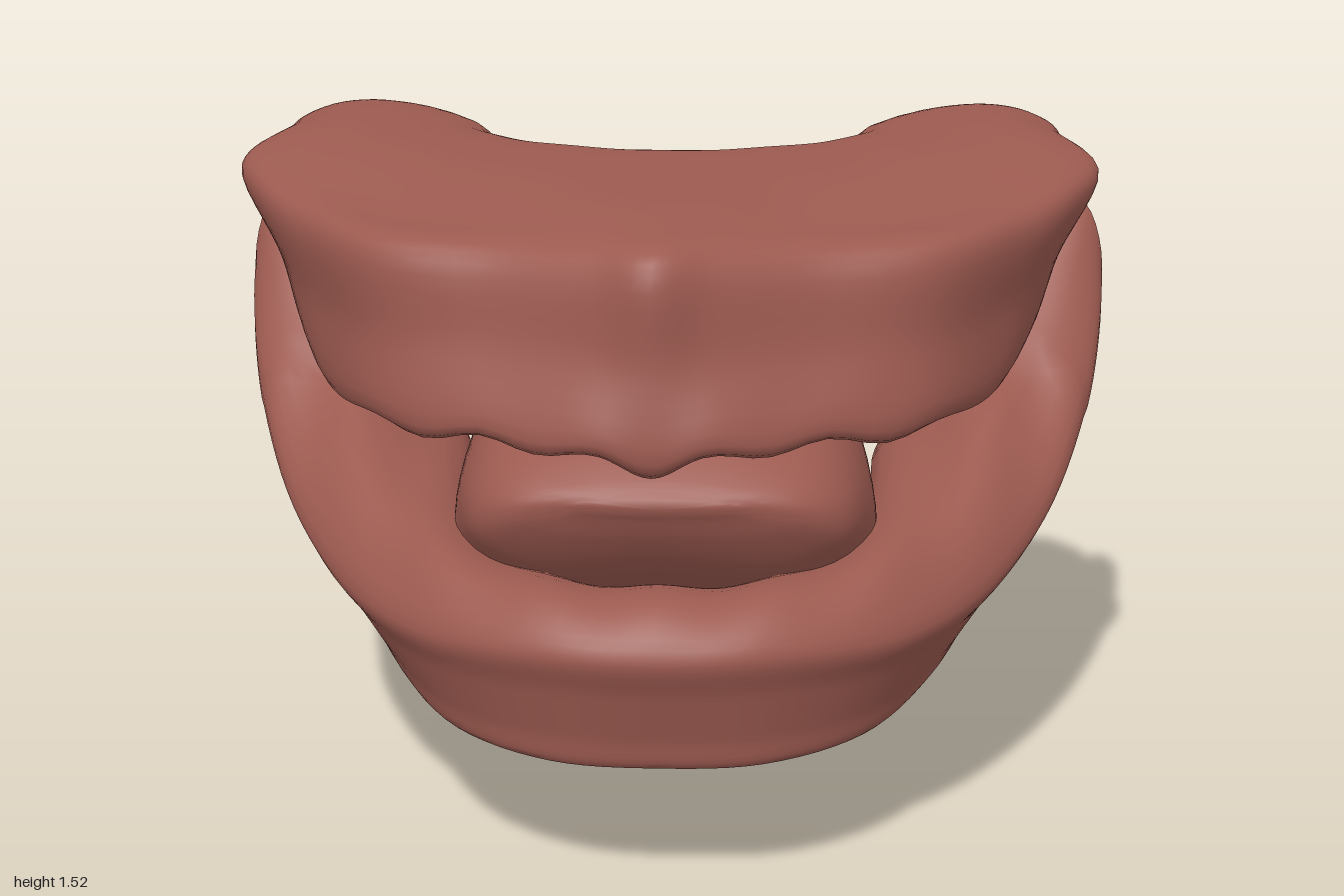
import * as THREE from 'three';
import { toCreasedNormals } from 'three/addons/utils/BufferGeometryUtils.js';

const V = (x, y, z) => new THREE.Vector3(x, y, z);
const lerp = (a, b, t) => a.clone().lerp(b, t);
const flip = p => V(-p.x, p.y, p.z);

// Smooth closed solid through a row of matching rings; each end closes on a point.
function loft(rings, startTip, endTip, along, around, warp) {
  const round = rings.map(r => new THREE.CatmullRomCurve3(r, true).getPoints(around).slice(0, around));
  const columns = [];
  for (let j = 0; j < around; j++) {
    columns.push(new THREE.CatmullRomCurve3(round.map(r => r[j])).getPoints(along));
  }
  const pts = [];
  for (let i = 0; i <= along; i++) for (let j = 0; j < around; j++) pts.push(columns[j][i]);
  pts.forEach(warp);
  const s = pts.push(startTip) - 1, e = pts.push(endTip) - 1;

  const idx = [];
  for (let j = 0; j < around; j++) {
    const k = (j + 1) % around, last = along * around;
    for (let i = 0; i < along; i++) {
      const a = i * around + j, b = i * around + k;
      idx.push(a, b, a + around, b, b + around, a + around);
    }
    idx.push(s, k, j, e, last + j, last + k);
  }
  // Turn the faces outwards if the enclosed volume comes out negative
  let volume = 0;
  for (let i = 0; i < idx.length; i += 3) {
    volume += pts[idx[i]].dot(pts[idx[i + 1]].clone().cross(pts[idx[i + 2]]));
  }
  if (volume < 0) idx.reverse();

  const geo = new THREE.BufferGeometry().setFromPoints(pts);
  geo.setIndex(idx);
  return toCreasedNormals(geo, 0.9);
}

// Half an arch (middle to left end) becomes a full one
const mirrorArch = half => [...half.slice(1).reverse().map(r => r.map(flip)), ...half];

// Upper gum: outer top edge, ridge below, inner rim (x, z), heights of the top surface
function upperGum() {
  const stations = [
    [[0, 1.45, 0.89], [0, 1.06, 0.93], [0, -0.03], 1.5, 1.49],
    [[0.12, 1.44, 0.83], [0.1, 1.08, 0.93], [0.1, -0.03], 1.5, 1.485],
    [[0.3, 1.43, 0.74], [0.3, 1.09, 0.85], [0.2, -0.06], 1.5, 1.465],
    [[0.56, 1.43, 0.65], [0.53, 1.08, 0.71], [0.3, -0.1], 1.5, 1.455],
    [[0.74, 1.43, 0.42], [0.67, 1.09, 0.49], [0.36, -0.15], 1.51, 1.47],
    [[0.86, 1.45, 0.22], [0.75, 1.11, 0.24], [0.4, -0.2], 1.515, 1.49],
    [[0.92, 1.46, 0.05], [0.78, 1.15, 0.03], [0.42, -0.28], 1.52, 1.505],
    [[0.87, 1.47, -0.18], [0.78, 1.2, -0.15], [0.47, -0.36], 1.52, 1.51],
    [[0.86, 1.46, -0.36], [0.77, 1.28, -0.32], [0.54, -0.43], 1.51, 1.5],
    [[0.8, 1.45, -0.45], [0.74, 1.36, -0.42], [0.63, -0.47], 1.49, 1.485],
  ];
  const half = stations.map(([e, r, [ix, iz], mid, outer], i) => {
    const edge = V(...e), ridge = V(...r), dip = Math.sin(i / 9 * Math.PI);
    const rimTop = V(ix, 1.465, iz), rimLow = V(ix, 1.37 - 0.06 * dip, iz);
    const middle = lerp(rimTop, edge, 0.4).setY(mid);
    const shoulder = lerp(rimTop, edge, 0.82).setY(outer);
    const wall = lerp(edge, ridge, 0.5);
    const reach = Math.min(0.5, 0.2 / ridge.distanceTo(rimLow));
    const ridgeIn = lerp(ridge, rimLow, reach).setY(ridge.y + 0.02);
    const palate = lerp(ridge, rimLow, Math.min(0.75, reach + 0.25)).setY(rimLow.y);
    return [rimTop, middle, shoulder, edge, wall, ridge, ridgeIn, palate, rimLow];
  });
  const tip = V(0.72, 1.43, -0.48);
  // Small scallops along the biting ridge
  const scallop = p => {
    if (p.y < 1.2 && p.z > 0.2) p.y += 0.01 * Math.cos(p.x * 28 + Math.PI) * (1.2 - p.y) / 0.12;
  };
  return loft(mirrorArch(half), flip(tip), tip, 108, 54, scallop);
}

// Lower gum: crest, outer wall, outer base, inner base, inner wall
function lowerGum() {
  const half = [
    [[0, 0.69, 0.66], [0, 0.6, 0.76], [0, 0.33, 0.68], [0, 0.36, 0.46], [0, 0.63, 0.46]],
    [[0.22, 0.69, 0.62], [0.24, 0.6, 0.72], [0.22, 0.33, 0.65], [0.18, 0.36, 0.42], [0.16, 0.63, 0.44]],
    [[0.42, 0.7, 0.5], [0.5, 0.58, 0.56], [0.43, 0.335, 0.5], [0.33, 0.37, 0.29], [0.32, 0.65, 0.34]],
    [[0.57, 0.74, 0.29], [0.7, 0.6, 0.31], [0.57, 0.36, 0.26], [0.45, 0.39, 0.09], [0.41, 0.67, 0.18]],
    [[0.68, 0.82, 0.05], [0.86, 0.72, 0.03], [0.67, 0.39, -0.05], [0.58, 0.42, -0.12], [0.45, 0.7, -0.01]],
    [[0.79, 0.96, -0.2], [0.95, 0.87, -0.2], [0.76, 0.45, -0.35], [0.67, 0.48, -0.36], [0.47, 0.73, -0.25]],
    [[0.88, 1.14, -0.38], [0.99, 1.03, -0.37], [0.81, 0.51, -0.5], [0.73, 0.54, -0.5], [0.54, 0.78, -0.4]],
    [[0.94, 1.27, -0.5], [1.0, 1.12, -0.47], [0.83, 0.57, -0.6], [0.76, 0.6, -0.61], [0.6, 0.83, -0.48]],
  ].map(ring => {
    const [crest, outer, base, baseIn, inner] = ring.map(p => V(...p));
    const wall = [0.35, 0.75].map(t => lerp(outer, base, t));
    return [crest, outer, ...wall, base, lerp(base, baseIn, 0.4), baseIn, inner];
  });
  const tip = V(0.78, 0.92, -0.66);
  // Slight unevenness along the crest
  const ripple = p => {
    if (p.z > -0.2 && p.y > 0.6) p.y += 0.06 * (p.y - 0.6) * Math.cos(p.x * 27);
  };
  return loft(mirrorArch(half), flip(tip), tip, 84, 48, ripple);
}

// Tongue: upper (z, y), lower (z, y), half width, notch height below and above
function tongue() {
  const sections = [
    [0.58, 0.88, 0.57, 0.84, 0.16, 0, 0],
    [0.55, 0.91, 0.54, 0.78, 0.3, 0, 0],
    [0.48, 0.96, 0.48, 0.7, 0.38, 0, 0],
    [0.3, 1.05, 0.34, 0.58, 0.43, 0, 0],
    [0.05, 1.13, 0.24, 0.36, 0.45, 0.02, 0],
    [-0.15, 1.16, 0.2, 0.24, 0.43, 0.05, 0],
    [-0.38, 1.13, 0.05, 0.17, 0.39, 0.06, 0],
    [-0.6, 1.01, -0.2, 0.14, 0.38, 0.08, 0],
    [-0.82, 0.85, -0.42, 0.1, 0.39, 0.1, 0],
    [-0.94, 0.57, -0.6, 0.05, 0.385, 0.12, 0],
    [-0.91, 0.25, -0.67, 0.015, 0.37, 0.13, 0.02],
    [-0.86, 0.1, -0.72, 0.005, 0.35, 0.13, 0.07],
  ];
  const shape = [[0.45, 0.04], [0.83, 0.2], [1, 0.46], [1, 0.74], [0.72, 1]];
  const rings = sections.map(([tz, ty, bz, by, w, low, high]) => {
    const top = V(0, ty, tz), base = V(0, by, bz);
    const side = shape.map(([x, t]) => lerp(top, base, t).setX(x * w));
    return [V(0, ty + high, tz), ...side, V(0, by + low, bz), ...side.map(flip).reverse()];
  });
  // Groove down the lower back
  const groove = p => {
    if (p.z < -0.75 && p.y < 0.5) p.z += 0.25 * (0.5 - p.y) * Math.exp(-((p.x / 0.1) ** 2));
  };
  return loft(rings, V(0, 0.86, 0.585), V(0, 0.13, -0.77), 77, 48, groove);
}

export function createModel() {
  const flesh = new THREE.MeshStandardMaterial({ color: 0x9c5a50 });
  flesh.name = 'flesh';
  const model = new THREE.Group();
  model.name = 'mouth';
  for (const [name, build] of Object.entries({ upperGum, lowerGum, tongue })) {
    const mesh = new THREE.Mesh(build(), flesh);
    mesh.name = name;
    model.add(mesh);
  }
  return model;
}
